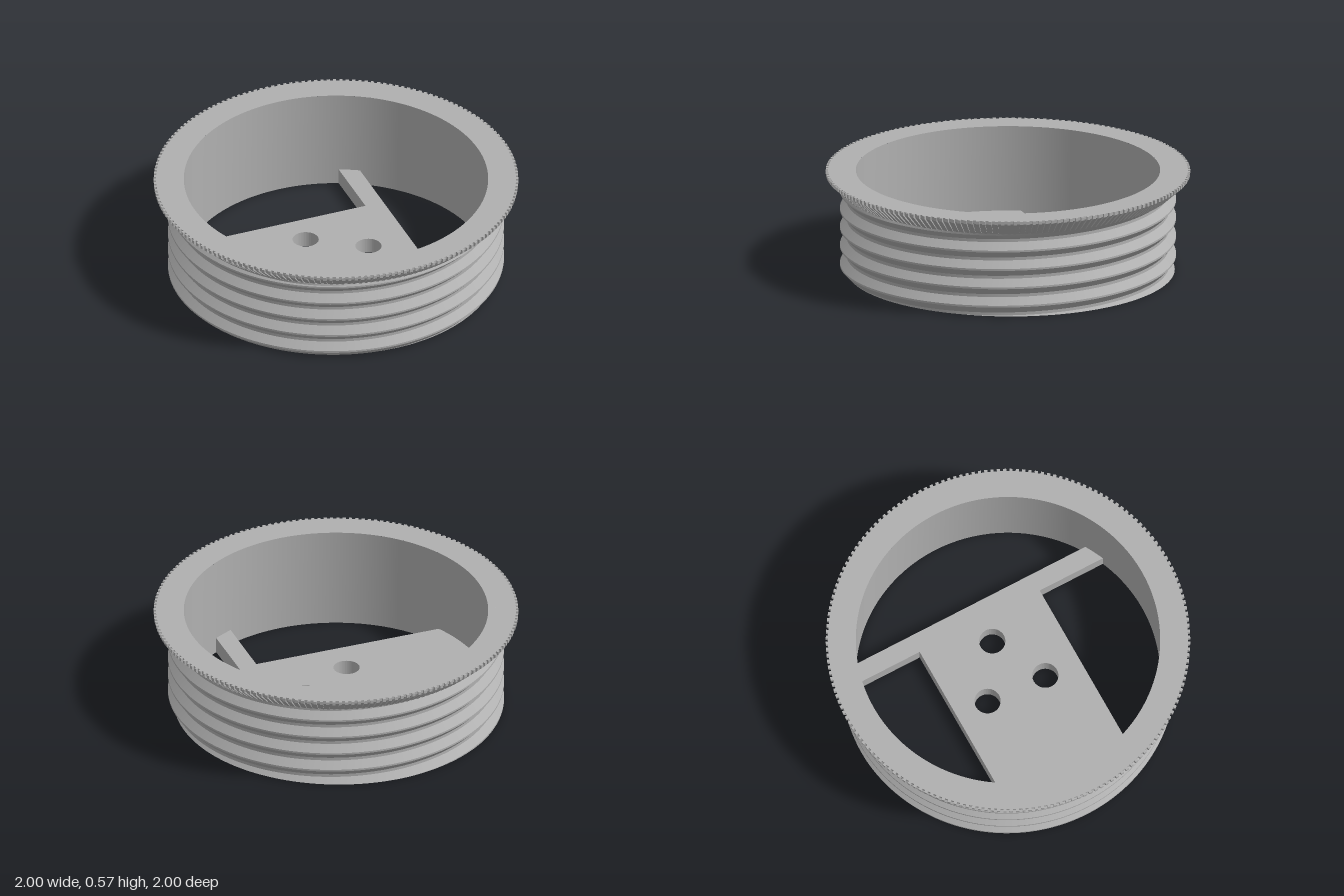
import * as THREE from 'three';
import { toCreasedNormals } from 'three/addons/utils/BufferGeometryUtils.js';

const INNER = 0.835, ROOT = 0.885, CREST = 0.922;
const PITCH = 0.105, THREAD_TOP = 0.468, TOP = 0.573;

// Sweeps [radius, height] sections around y; profile(i) gives angle and section
function sweep(count, section) {
  const pos = [];
  const A = new THREE.Vector3(), B = new THREE.Vector3();
  const tri = (a, b, c) => {
    A.subVectors(b, a); B.subVectors(c, a);
    if (A.cross(B).length() < 1e-9) return;
    for (const p of [a, b, c]) pos.push(p.x, p.y, p.z);
  };
  const ring = (i) => {
    const { angle, points } = section(i);
    return points.map(([r, y]) => new THREE.Vector3(r * Math.sin(angle), y, r * Math.cos(angle)));
  };
  let prev = ring(0);
  for (let i = 1; i <= count; i++) {
    const next = ring(i);
    for (let j = 0; j < prev.length - 1; j++) {
      tri(prev[j], next[j], next[j + 1]);
      tri(prev[j], next[j + 1], prev[j + 1]);
    }
    prev = next;
  }
  const g = new THREE.BufferGeometry();
  g.setAttribute('position', new THREE.Float32BufferAttribute(pos, 3));
  return toCreasedNormals(g, 0.4);
}

// Thread radius at a height, measured from the helical crest line
function threadRadius(y, angle) {
  const turn = (y - 0.361) / PITCH - angle / (2 * Math.PI);
  const d = Math.abs(turn - Math.round(turn)); // 0 at crest, 0.5 at root
  return THREE.MathUtils.mapLinear(THREE.MathUtils.clamp(d, 0.05, 0.42), 0.05, 0.42, CREST, ROOT);
}

// Inner wall, bottom lip and single-start right-hand thread
function threadedBody() {
  const n = 240;
  return sweep(n, (i) => {
    const angle = (i / n) * Math.PI * 2;
    const points = [[INNER, TOP], [INNER, 0]];
    for (let k = -5; k <= 2; k++) {
      for (const f of [-0.42, -0.05, 0.05, 0.42]) {
        const y = 0.361 + PITCH * (k + f + angle / (2 * Math.PI));
        const yc = THREE.MathUtils.clamp(y, 0, THREAD_TOP);
        points.push([threadRadius(yc, angle), yc]);
      }
    }
    points.push([0.915, 0.48]);
    return { angle, points };
  });
}

// Flared rim with square grip teeth
function knurledRim() {
  const teeth = 180;
  return sweep(teeth * 4, (i) => {
    const tooth = Math.floor(i / 4), step = i % 4;
    const angle = ((tooth + (step >= 2 ? 0.5 : 0)) / teeth) * Math.PI * 2;
    const cut = step === 1 || step === 2 ? 0 : 0.013;
    return {
      angle,
      points: [[0.89, 0.478], [0.915 - cut * 0.4, 0.478], [1 - cut, 0.555], [1 - cut, TOP], [INNER, TOP]],
    };
  });
}

// T-shaped floor plate with three round holes
function floorPlate() {
  const R = INNER + 0.002, half = 0.375, x0 = 0.325, x1 = 0.43;
  const s = new THREE.Shape();
  const a = Math.asin(half / R), b0 = Math.acos(x0 / R), b1 = Math.acos(x1 / R);
  s.absarc(0, 0, R, Math.PI - a, Math.PI + a, false);
  s.lineTo(x0, -half);
  s.absarc(0, 0, R, -b0, -b1, false);
  s.absarc(0, 0, R, b1, b0, false);
  s.lineTo(x0, half);
  s.closePath();
  for (const [x, z] of [[-0.105, -0.185], [0.19, 0.005], [-0.125, 0.165]]) {
    const h = new THREE.Path();
    h.absarc(x, -z, 0.072, 0, Math.PI * 2, true);
    s.holes.push(h);
  }
  const g = new THREE.ExtrudeGeometry(s, { depth: 0.09, bevelEnabled: false, curveSegments: 24 });
  return g.rotateX(-Math.PI / 2);
}

export function createModel() {
  const grey = new THREE.MeshStandardMaterial({ color: 0xb0b0b0 });
  grey.name = 'grey plastic';
  const group = new THREE.Group();
  group.name = 'threadedRing';
  const parts = { threadedBody: threadedBody(), knurledRim: knurledRim(), floorPlate: floorPlate() };
  for (const [name, geometry] of Object.entries(parts)) {
    const mesh = new THREE.Mesh(geometry, grey);
    mesh.name = name;
    group.add(mesh);
  }
  return group;
}
